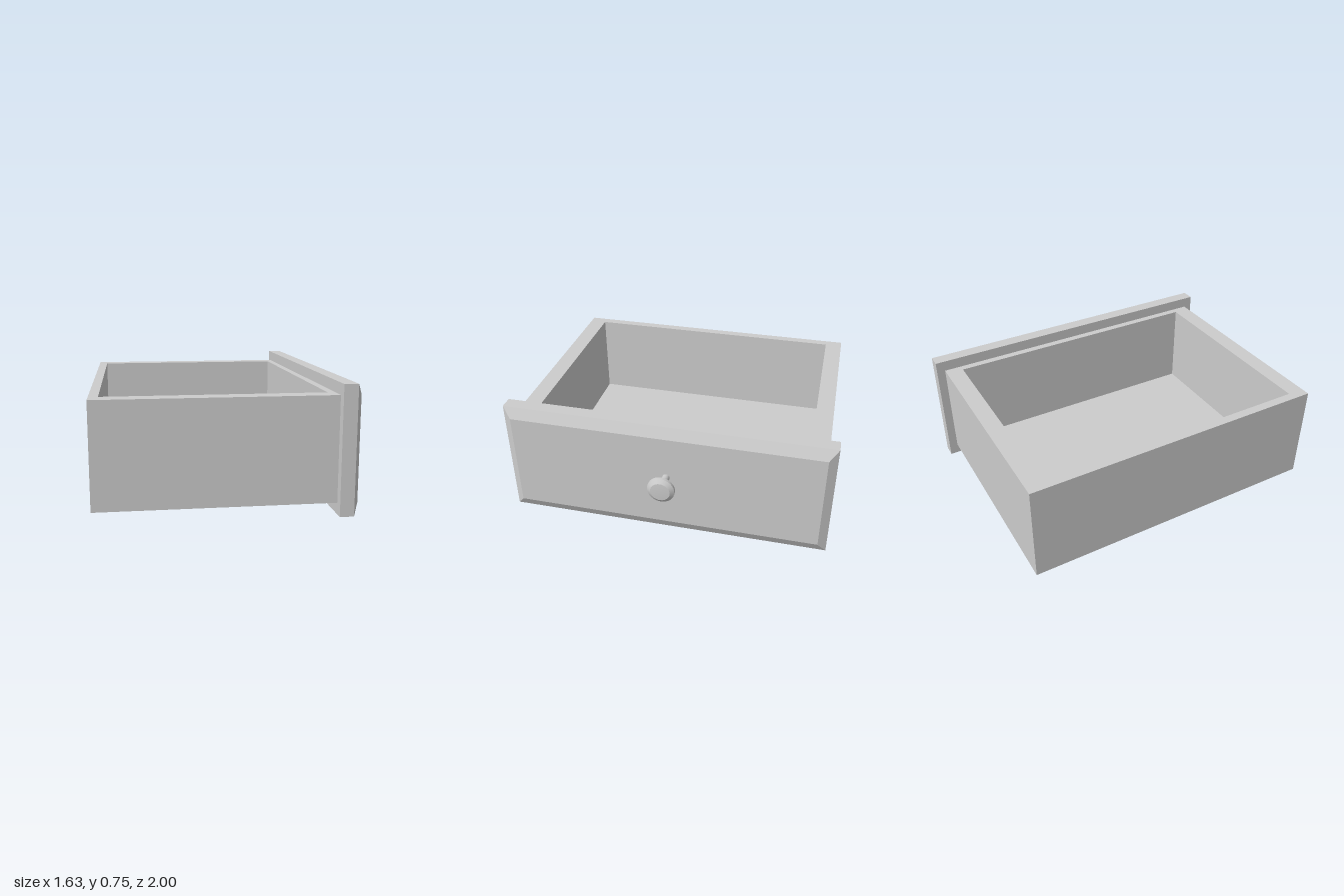
import * as THREE from 'three';

export function createModel() {
  const model = new THREE.Group();
  const flat = new THREE.MeshStandardMaterial({ color: 0xcccccc, flatShading: true });
  const smooth = new THREE.MeshStandardMaterial({ color: 0xcccccc });

  const add = (name, geometry, material = flat) => {
    const mesh = new THREE.Mesh(geometry, material);
    mesh.name = name;
    model.add(mesh);
    return mesh;
  };

  // Counter-clockwise rectangle in the ground plane
  const rect = (target, x0, x1, z0, z1) => {
    target.moveTo(x0, -z1);
    target.lineTo(x1, -z1);
    target.lineTo(x1, -z0);
    target.lineTo(x0, -z0);
    target.closePath();
    return target;
  };

  // Four walls as one hollow rectangle, extruded upwards
  const bottom = 0.066, top = 0.68, floorTop = 0.13;
  const outline = rect(new THREE.Shape(), -0.815, 0.554, -0.947, 0.945);
  outline.holes.push(rect(new THREE.Path(), -0.76, 0.51, -0.84, 0.838));
  const walls = new THREE.ExtrudeGeometry(outline, { depth: top - bottom, bevelEnabled: false });
  walls.rotateX(-Math.PI / 2).translate(0, bottom, 0);
  add('drawerWalls', walls);

  // Floor panel closing the box
  const floor = new THREE.BoxGeometry(1.27, floorTop - bottom, 1.678);
  floor.translate(-0.125, (floorTop + bottom) / 2, -0.001);
  add('drawerFloor', floor);

  // Face panel slab
  const height = 0.748, back = 0.554, edge = 0.636, face = 0.67;
  const slab = new THREE.BoxGeometry(edge - back, height, 2);
  slab.translate((back + edge) / 2, height / 2, 0);
  add('facePanel', slab);

  // Bevelled front of the panel: a box whose outer face is drawn in
  const bevel = new THREE.BoxGeometry(face - edge, height, 2);
  const p = bevel.attributes.position;
  for (let i = 0; i < p.count; i++) {
    if (p.getX(i) > 0) {
      p.setY(i, p.getY(i) - Math.sign(p.getY(i)) * 0.066);
      p.setZ(i, p.getZ(i) - Math.sign(p.getZ(i)) * 0.052);
    }
  }
  bevel.translate((edge + face) / 2, height / 2, 0);
  bevel.computeVertexNormals();
  add('facePanelBevel', bevel);

  // Turned knob: [radius, distance from panel], in stem, rim, chamfer and cap
  const profiles = {
    knobStem: [[0.023, -0.005], [0.023, 0.03], [0.026, 0.047], [0.034, 0.064],
      [0.046, 0.08], [0.062, 0.095], [0.083, 0.109]],
    knobRim: [[0.083, 0.109], [0.083, 0.126]],
    knobChamfer: [[0.083, 0.126], [0.059, 0.143]],
    knobCap: [[0.059, 0.143], [0.03, 0.145], [0, 0.145]],
  };
  for (const [name, points] of Object.entries(profiles)) {
    const lathe = new THREE.LatheGeometry(points.map(([r, d]) => new THREE.Vector2(r, d)), 32);
    lathe.rotateZ(-Math.PI / 2);
    add(name, lathe, smooth).position.set(face, 0.411, -0.018);
  }

  return model;
}
